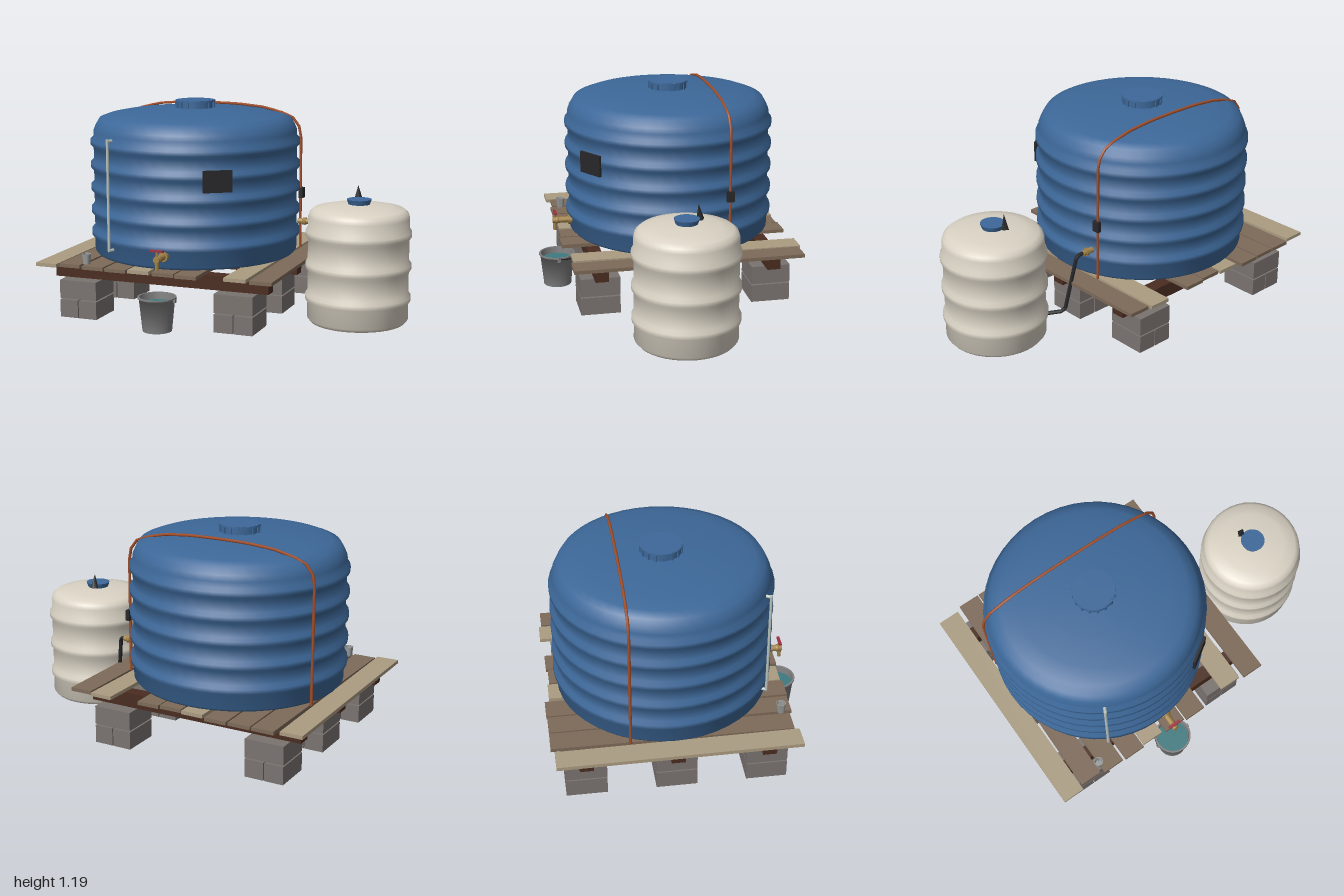
import * as THREE from 'three';
import { toCreasedNormals } from 'three/addons/utils/BufferGeometryUtils.js';

const V = (x, y, z) => new THREE.Vector3(x, y, z);
const mat = (color, extra = {}) => new THREE.MeshStandardMaterial({ color, ...extra });
const M = {
  blue: mat(0x3d6899), cream: mat(0xd9d2c4), block: mat(0x7a7370), bearer: mat(0x4a2c20),
  tan: mat(0xab9c82), brown: mat(0x7d6a58), dark: mat(0x28282a), brass: mat(0xa5854a),
  strap: mat(0xa3502c), red: mat(0xa03040), pale: mat(0xb8c4bf), metal: mat(0x808080), water: mat(0x3f7a80),
};

export function createModel() {
  const root = new THREE.Group();
  const add = (name, geo, material, x = 0, y = 0, z = 0, parent = root) => {
    const m = new THREE.Mesh(geo, material);
    m.name = name;
    m.position.set(x, y, z);
    parent.add(m);
    return m;
  };
  const group = (name, x = 0, y = 0, z = 0) => {
    const g = new THREE.Group();
    g.name = name;
    g.position.set(x, y, z);
    root.add(g);
    return g;
  };
  const box = (w, h, d) => new THREE.BoxGeometry(w, h, d);
  const cyl = (r, h, n = 16, rb = r) => new THREE.CylinderGeometry(r, rb, h, n);
  const lathe = (pts, n) => toCreasedNormals(
    new THREE.LatheGeometry(pts.map(p => new THREE.Vector2(...p)), n), 1.2);
  // Straight-segmented tube path
  const pipe = (pts, r, n = 8) => {
    const path = new THREE.CurvePath();
    for (let i = 1; i < pts.length; i++) path.add(new THREE.LineCurve3(pts[i - 1], pts[i]));
    return new THREE.TubeGeometry(path, 40, r, n);
  };
  // Raised hoop in a tank profile: centre height, wall radius, depth, half height
  const rib = (y, r, d, h) => [[r, y - h], [r + d, y - h * 0.4], [r + d, y + h * 0.4], [r, y + h]];

  // Large ribbed tank
  const tank = group('largeTank', -0.30, 0, -0.06);
  const profile = [[0, 0.32], [0.572, 0.32], [0.585, 0.335]];
  for (let i = 0; i < 5; i++) profile.push(...rib(0.437 + i * 0.13, 0.585, 0.018, 0.03));
  profile.push([0.585, 1.02], [0.572, 1.05], [0.549, 1.09], [0.5, 1.108], [0.41, 1.125], [0.25, 1.137], [0.1, 1.147], [0, 1.147]);
  add('largeTankBody', lathe(profile, 48), M.blue, 0, 0, 0, tank);

  // Screw cap with grips
  add('largeCap', cyl(0.108, 0.05, 32), M.blue, 0, 1.165, 0, tank);
  add('largeCapRim', cyl(0.114, 0.008, 32), M.blue, 0, 1.185, 0, tank);
  for (let i = 0; i < 16; i++) {
    const a = i * Math.PI / 8;
    add('capGrip', box(0.012, 0.036, 0.014), M.blue, Math.sin(a) * 0.109, 1.165, Math.cos(a) * 0.109, tank).rotation.y = a;
  }

  // Tie-down strap across the back of the tank, with buckle
  const half = [[0.56, 0.32], [0.56, 1.0], [0.545, 1.04], [0.5, 1.093], [0.34, 1.135], [0.17, 1.15]];
  const strapPts = [...half.map(([x, y]) => V(-x, y, -0.24)), V(0, 1.152, -0.24),
    ...half.slice().reverse().map(([x, y]) => V(x, y, -0.24))];
  add('strap', pipe(strapPts, 0.008, 6), M.strap, 0, 0, 0, tank);
  add('strapBuckle', box(0.025, 0.06, 0.042), M.dark, 0.567, 0.645, -0.24, tank);

  // Dark label plate on the tank wall
  add('plate', box(0.16, 0.12, 0.014), M.dark, 0.335, 0.81, 0.505, tank).rotation.y = 0.58;

  // Level gauge tube with elbows
  const gauge = group('levelGauge', -0.60, 0, 0.475);
  add('gaugeTube', cyl(0.008, 0.62, 10), M.pale, 0, 0.70, 0, gauge);
  for (const y of [0.39, 1.0]) {
    const e = add('gaugeElbow', cyl(0.009, 0.05, 8), M.pale, 0.01, y, -0.018, gauge);
    e.rotation.set(Math.PI / 2, 0, 0.5);
  }

  // Tap
  const tap = group('tap', -0.245, 0.397, 0);
  add('tapFlange', cyl(0.028, 0.02, 12), M.brass, 0, 0, 0.535, tap).rotation.x = Math.PI / 2;
  add('tapPipe', cyl(0.018, 0.12, 12), M.brass, 0, 0, 0.575, tap).rotation.x = Math.PI / 2;
  add('tapSpout', cyl(0.012, 0.07, 12, 0.01), M.brass, 0, -0.023, 0.623, tap);
  add('tapBody', new THREE.SphereGeometry(0.021, 12, 8), M.brass, 0, 0, 0.61, tap);
  add('tapStem', cyl(0.007, 0.04, 8), M.brass, 0, 0.03, 0.62, tap);
  add('tapHandle', box(0.075, 0.01, 0.016), M.red, 0, 0.047, 0.62, tap);

  // Platform planks, with one plank missing: [centre x, back z, front z]
  const planks = [[-0.932, -0.70, 0.605], [-0.79, -0.72, 0.58], [-0.65, -0.72, 0.595], [-0.512, -0.725, 0.60],
    [-0.37, -0.70, 0.59], [-0.228, -0.69, 0.60], [-0.094, -0.70, 0.61], [0.185, -0.715, 0.58], [0.33, -0.70, 0.595]];
  planks.forEach(([x, z0, z1], i) => {
    add('plank', box(0.126, 0.02, z1 - z0), [0, 4, 7].includes(i) ? M.tan : M.brown, x, 0.31, (z0 + z1) / 2)
      .rotation.y = [0.008, -0.006, 0.004][i % 3];
  });

  // Bearers on stacked blocks
  for (const z of [0.435, -0.055, -0.54]) {
    add('bearer', box(1.27, 0.08, 0.075), M.bearer, -0.30, 0.26, z);
    for (const x of [-0.763, 0.16]) {
      for (const s of [-1, 1]) add('lowerBlock', box(0.108, 0.1, 0.222), M.block, x + s * 0.057, 0.056, z);
      add('upperBlock', box(0.222, 0.104, 0.222), M.block, x, 0.166, z);
    }
  }

  // Bucket with water and bail handle
  const bucket = group('bucket', -0.25, 0, 0.615);
  add('bucketShell', lathe([[0, 0.006], [0.08, 0.006], [0.098, 0.185], [0.105, 0.187], [0.105, 0.195],
    [0.095, 0.195], [0.076, 0.015], [0, 0.015]], 28), M.metal, 0, 0, 0, bucket);
  add('bucketWater', cyl(0.091, 0.004, 28), M.water, 0, 0.155, 0, bucket);
  add('bucketHandle', new THREE.TorusGeometry(0.103, 0.004, 6, 20, Math.PI), M.dark, 0, 0.19, 0, bucket)
    .rotation.x = -Math.PI / 2 - 0.18;
  for (const s of [-1, 1]) add('bucketLug', box(0.014, 0.02, 0.02), M.metal, s * 0.104, 0.18, 0, bucket);

  // Small cup on the planks
  add('cup', lathe([[0, 0.32], [0.02, 0.32], [0.026, 0.377], [0.022, 0.377], [0.018, 0.328], [0, 0.328]], 16),
    mat(0x9a9c9c), -0.71, 0, 0.535);

  // Small cream tank
  const small = group('smallTank', 0.708, 0, 0.045);
  const sp = [[0, 0.01], [0.262, 0.01], [0.279, 0.03]];
  for (const y of [0.148, 0.325, 0.505]) sp.push(...rib(y, 0.278, 0.013, 0.032));
  sp.push([0.278, 0.595], [0.27, 0.62], [0.248, 0.638], [0.18, 0.653], [0.07, 0.664], [0, 0.664]);
  add('smallTankBody', lathe(sp, 40), M.cream, 0, 0, 0, small);
  add('smallCap', cyl(0.068, 0.03, 24, 0.058), M.blue, 0, 0.676, 0, small);
  add('capLever', new THREE.ConeGeometry(0.024, 0.085, 4), M.dark, -0.025, 0.715, -0.072, small).rotation.set(0.1, 0.3, 0);
  add('basePad', box(0.155, 0.012, 0.165), M.dark, -0.002, 0.006, 0.01, small);

  // Overflow fitting and hose joining the tanks
  add('outlet', cyl(0.016, 0.07, 12), M.brass, 0.295, 0.485, -0.255).rotation.z = Math.PI / 2;
  add('outletNut', cyl(0.022, 0.02, 6), M.brass, 0.30, 0.485, -0.255).rotation.z = Math.PI / 2;
  add('hose', pipe([V(0.31, 0.485, -0.255), V(0.352, 0.483, -0.25), V(0.365, 0.46, -0.24),
    V(0.412, 0.15, -0.20), V(0.43, 0.13, -0.185), V(0.50, 0.12, -0.13)], 0.011), M.dark);

  return root;
}
